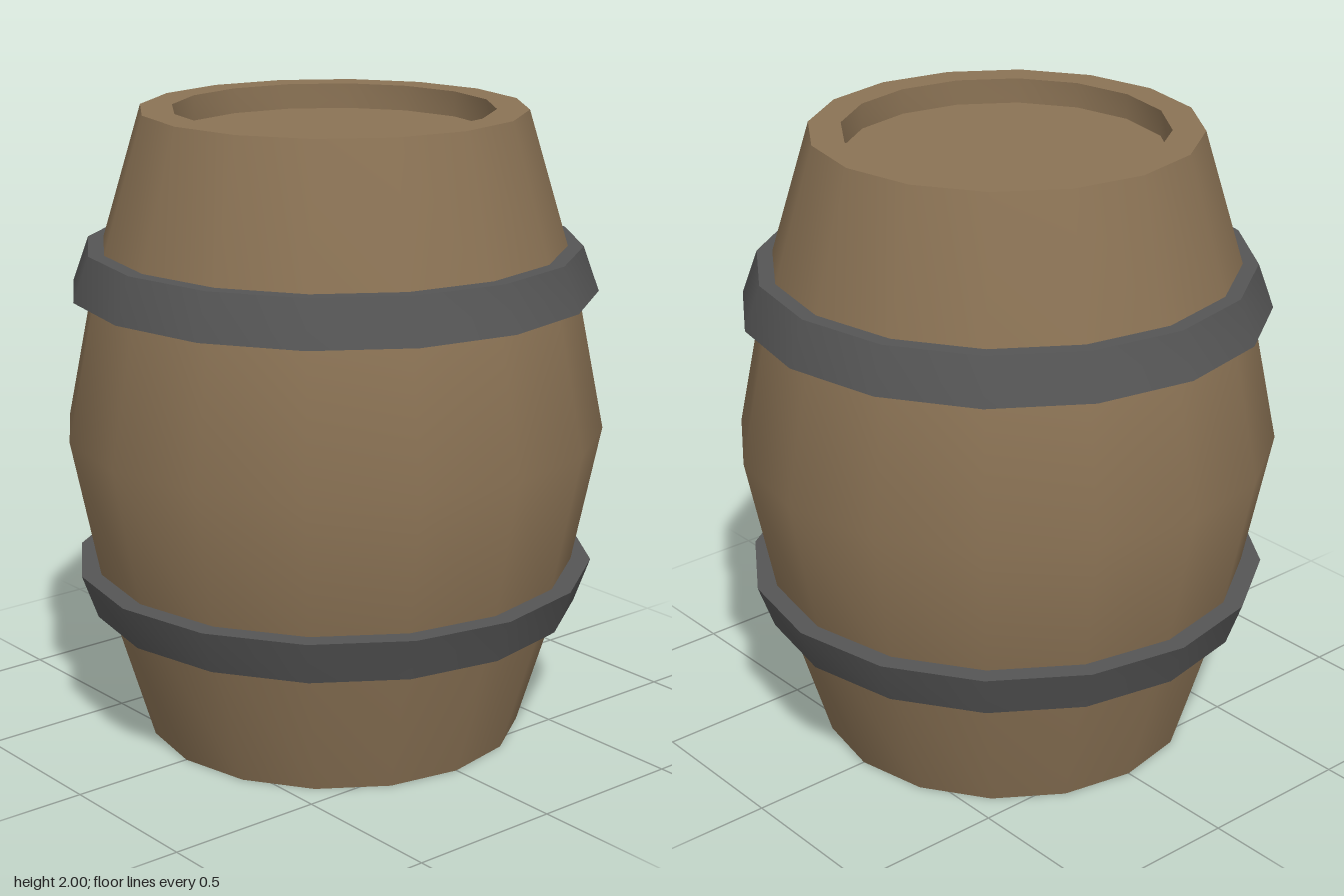
import * as THREE from 'three';
import { toCreasedNormals } from 'three/addons/utils/BufferGeometryUtils.js';

const SIDES = 16;
const wood = new THREE.MeshStandardMaterial({ color: 0x8b7355 });
const iron = new THREE.MeshStandardMaterial({ color: 0x555555 });

// Turns a [radius, height] profile, listed bottom to top on the outside
function turned(name, profile, material) {
  const points = profile.map(([r, y]) => new THREE.Vector2(r, y));
  const geometry = toCreasedNormals(new THREE.LatheGeometry(points, SIDES), 0.6);
  const mesh = new THREE.Mesh(geometry, material);
  mesh.name = name;
  return mesh;
}

export function createModel() {
  const barrel = new THREE.Group();
  barrel.name = 'barrel';

  // Bulging staves with a raised rim around each recessed head
  barrel.add(turned('body', [
    [0, 0.08], [0.5, 0.08], [0.5, 0], [0.6, 0],
    [0.75, 0.5], [0.85, 1], [0.75, 1.5],
    [0.6, 2], [0.5, 2], [0.5, 1.92], [0, 1.92],
  ], wood));

  // Hoops, each flaring towards the middle of the barrel
  const hoop = [[0.76, 1.44], [0.825, 1.44], [0.775, 1.58], [0.72, 1.58], [0.76, 1.44]];
  barrel.add(turned('upperHoop', hoop, iron));
  const mirrored = hoop.map(([r, y]) => [r, 2 - y]).reverse();
  barrel.add(turned('lowerHoop', mirrored, iron));

  return barrel;
}
